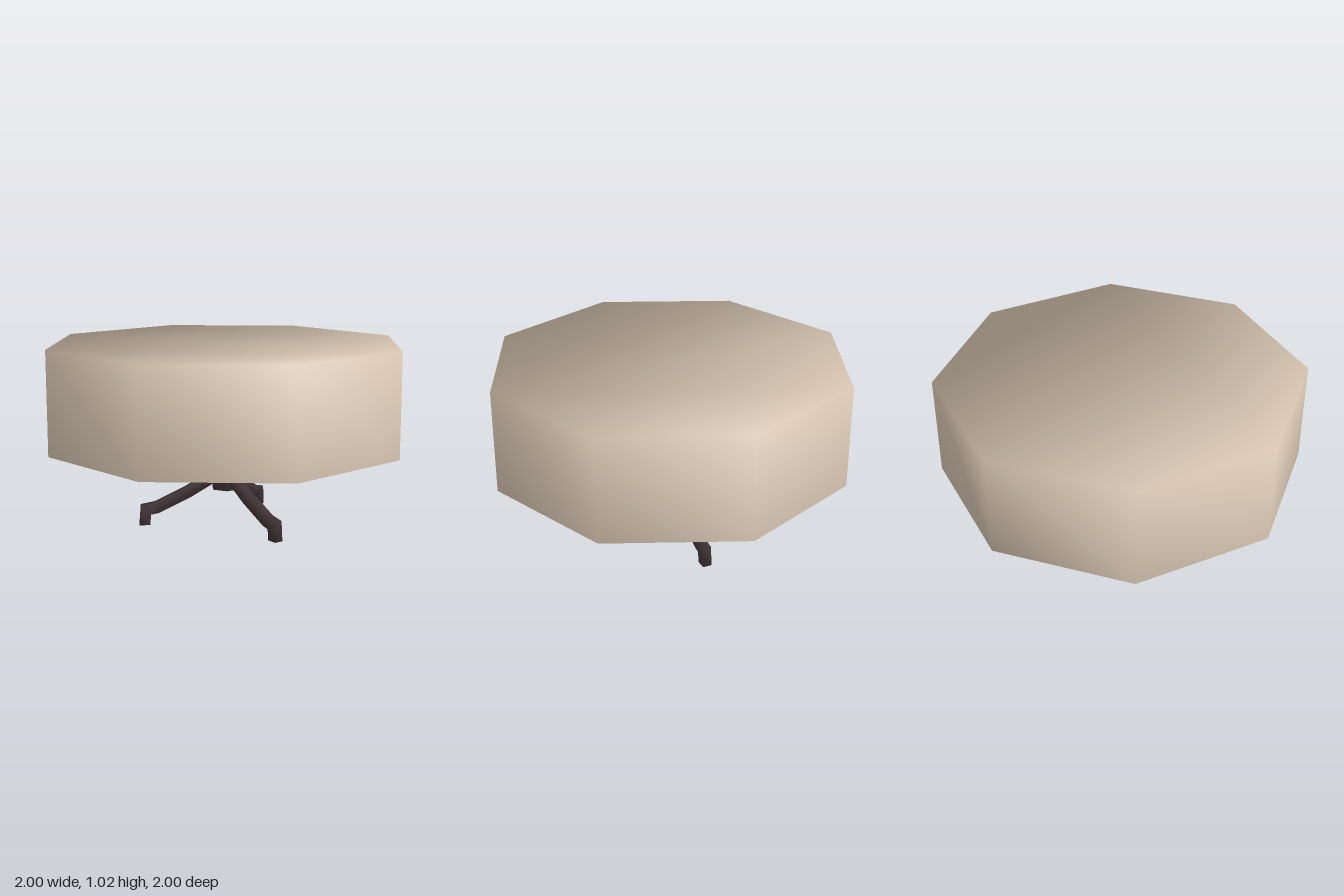
import * as THREE from 'three';

const linen = new THREE.MeshStandardMaterial({ color: 0xd9c7b3, side: THREE.DoubleSide });
linen.name = 'linen';
const darkWood = new THREE.MeshStandardMaterial({ color: 0x45373a });
darkWood.name = 'dark wood';

// Octagonal cloth: flat top and hanging sides, open underneath, softly shaded
function clothGeometry(sides, top, bottom) {
  const pos = [], nor = [], idx = [];
  for (let i = 0; i < sides; i++) {
    const a = (i / sides) * Math.PI * 2, c = Math.cos(a), s = Math.sin(a);
    pos.push(c, top, s, c, bottom, s);
    nor.push(c * 0.87, 0.49, s * 0.87, c, 0, s);
    const t = i * 2, n = ((i + 1) % sides) * 2;
    idx.push(t, n, t + 1, n, n + 1, t + 1);
    if (i > 0 && i < sides - 1) idx.push(0, n, t);
  }
  const g = new THREE.BufferGeometry();
  g.setAttribute('position', new THREE.Float32BufferAttribute(pos, 3));
  g.setAttribute('normal', new THREE.Float32BufferAttribute(nor, 3));
  g.setIndex(idx);
  return g;
}

// Rectangular bar swept along a bent path in the xy plane, with mitred corners
function legGeometry(path, halfHeight, halfWidth) {
  const pts = path.map(([x, y]) => new THREE.Vector2(x, y));
  const last = pts.length - 1, pos = [], idx = [];
  const dir = (i) => pts[i + 1].clone().sub(pts[i]).normalize();
  pts.forEach((p, i) => {
    let t = i === 0 ? dir(0) : dir(i - 1), mitre = 1;
    if (i === last) t = new THREE.Vector2(0, -1);
    else if (i > 0) {
      const before = t;
      t = before.clone().add(dir(i)).normalize();
      mitre = 1 / before.dot(t);
    }
    for (const [u, v] of [[1, -1], [1, 1], [-1, 1], [-1, -1]]) {
      const h = u * halfHeight * mitre;
      pos.push(p.x - t.y * h, p.y + t.x * h, v * halfWidth);
    }
    if (i === last) return;
    for (let j = 0; j < 4; j++) {
      const a = i * 4 + j, b = i * 4 + ((j + 1) % 4);
      idx.push(a, b, a + 4, b, b + 4, a + 4);
    }
  });
  const e = last * 4;
  idx.push(e, e + 1, e + 2, e, e + 2, e + 3, 0, 2, 1, 0, 3, 2);
  const g = new THREE.BufferGeometry();
  g.setAttribute('position', new THREE.Float32BufferAttribute(pos, 3));
  g.setIndex(idx);
  g.computeVertexNormals();
  return g;
}

export function createModel() {
  const model = new THREE.Group();
  model.name = 'pedestalTable';
  const add = (name, geometry, material) => {
    const mesh = new THREE.Mesh(geometry, material);
    mesh.name = name;
    model.add(mesh);
    return mesh;
  };

  add('tablecloth', clothGeometry(8, 1.02, 0.45), linen);

  // Turned six-sided column, corners on the x axis
  const profile = [
    [0, 0.2], [0.085, 0.2], [0.045, 0.31], [0.095, 0.39], [0.095, 0.45],
    [0.048, 0.74], [0.095, 0.83], [0.095, 1.01], [0, 1.01],
  ].map(([r, y]) => new THREE.Vector2(r, y));
  add('column', new THREE.LatheGeometry(profile, 6), darkWood).rotation.y = Math.PI / 2;

  // Three curved legs: one at the back, two at the front
  const leg = legGeometry(
    [[0.01, 0.285], [0.06, 0.275], [0.215, 0.182], [0.39, 0.097], [0.45, 0.085], [0.457, 0]],
    0.03, 0.025);
  ['backLeg', 'rightFrontLeg', 'leftFrontLeg'].forEach((name, i) => {
    add(name, leg, darkWood).rotation.y = Math.PI / 2 + (i * Math.PI * 2) / 3;
  });

  return model;
}
